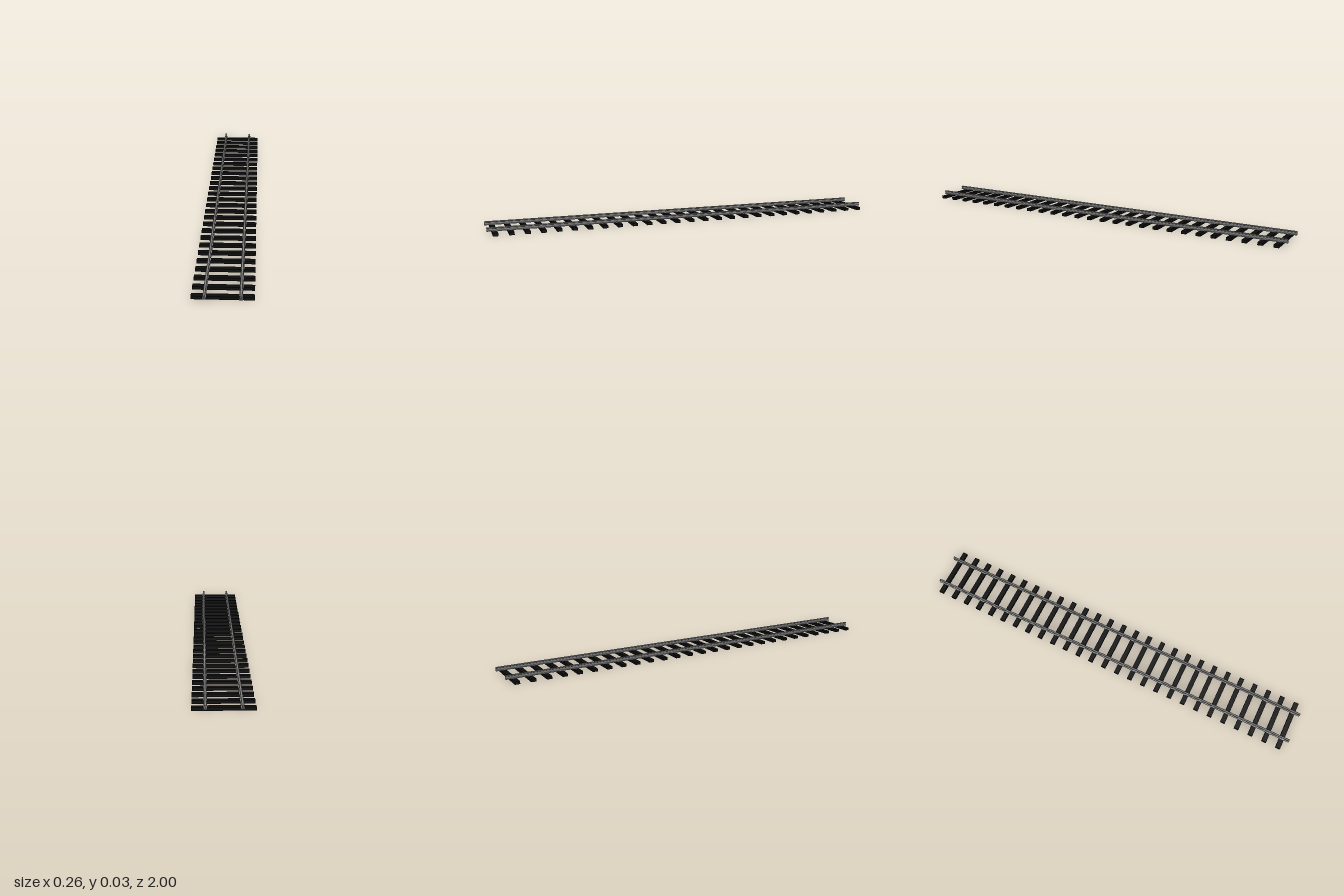
import * as THREE from 'three';

const LENGTH = 2;
const SLEEPERS = 27;
const SLEEPER = { width: 0.257, height: 0.014, depth: 0.024 };
const RAIL_X = 0.0735;

// Half of the rail cross-section, from the foot up to the head
const RAIL_HALF = [
  [0.0072, 0], [0.0072, 0.0014], [0.0018, 0.0034], [0.0013, 0.005],
  [0.0013, 0.0125], [0.0045, 0.0138], [0.0052, 0.0148],
  [0.0052, 0.0168], [0.0042, 0.018],
];

function railGeometry() {
  const right = RAIL_HALF.map(([x, y]) => new THREE.Vector2(x, y));
  const left = RAIL_HALF.map(([x, y]) => new THREE.Vector2(-x, y)).reverse();
  const shape = new THREE.Shape([...right, ...left]);
  const geometry = new THREE.ExtrudeGeometry(shape, { depth: LENGTH, bevelEnabled: false });
  return geometry.translate(0, 0, -LENGTH / 2);
}

export function createModel() {
  const track = new THREE.Group();
  track.name = 'railwayTrack';
  const steel = new THREE.MeshStandardMaterial({ color: 0x808080 });
  const timber = new THREE.MeshStandardMaterial({ color: 0x0c0c0c });

  // Sleepers, evenly spaced along the track
  const sleepers = new THREE.Group();
  sleepers.name = 'sleepers';
  const sleeperShape = new THREE.BoxGeometry(SLEEPER.width, SLEEPER.height, SLEEPER.depth);
  const pitch = 0.0741;
  for (let i = 0; i < SLEEPERS; i++) {
    const sleeper = new THREE.Mesh(sleeperShape, timber);
    sleeper.name = 'sleeper';
    sleeper.position.set(0, SLEEPER.height / 2, (i - (SLEEPERS - 1) / 2) * pitch);
    sleepers.add(sleeper);
  }
  track.add(sleepers);

  // Two rails resting on the sleepers
  const profile = railGeometry();
  for (const side of [-1, 1]) {
    const rail = new THREE.Mesh(profile, steel);
    rail.name = side > 0 ? 'leftRail' : 'rightRail';
    rail.position.set(side * RAIL_X, SLEEPER.height, 0);
    track.add(rail);
  }
  return track;
}
